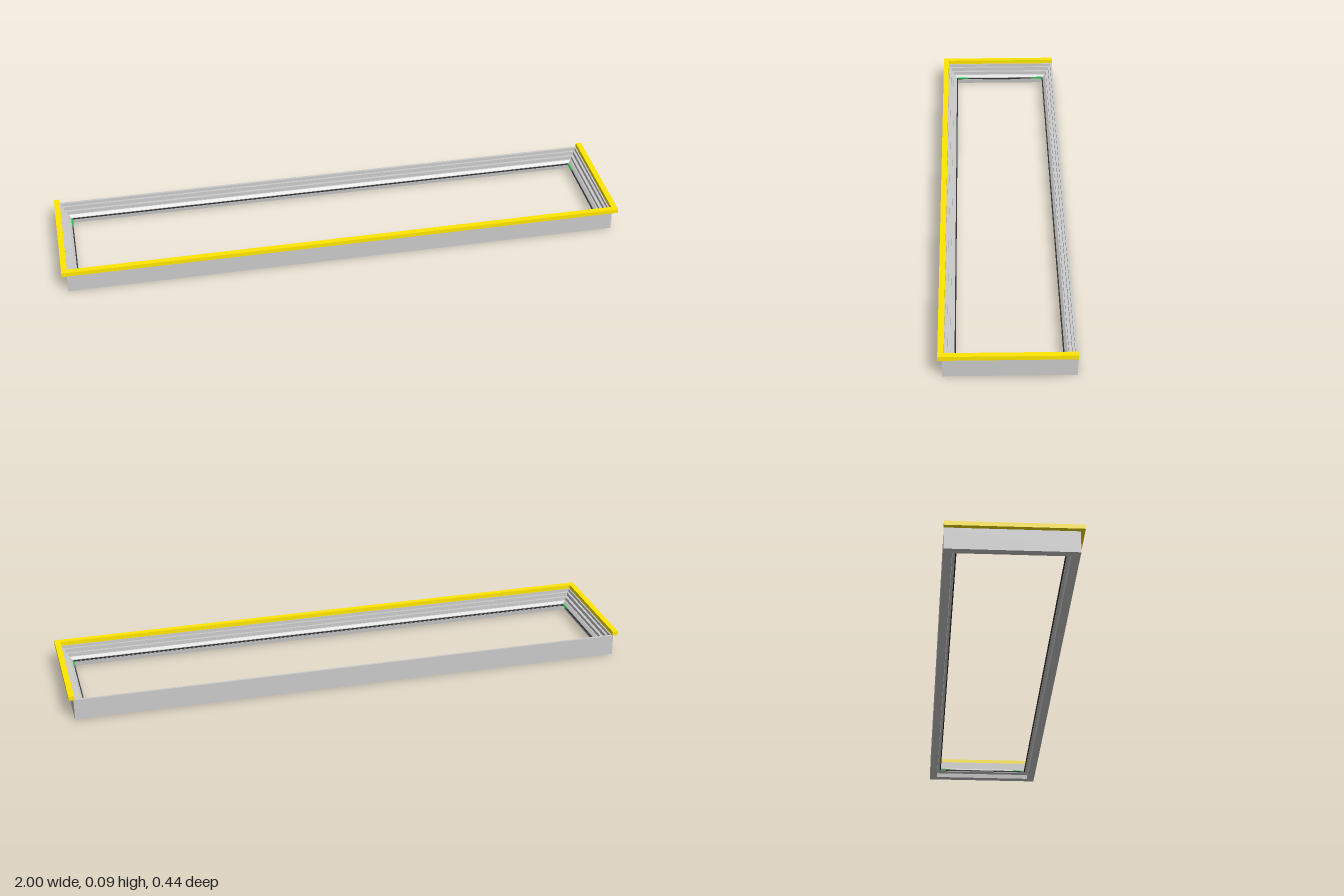
import * as THREE from 'three';

const X = 0.983, BACK = -0.222, FRONT = 0.208; // outer edges of the frame

// Sweeps a closed profile of [inset, height] around the rectangle with mitred corners
function mitredRing(profile) {
  const corner = (k, [d, y]) => [
    k < 2 ? X - d : -X + d,
    y,
    k === 0 || k === 3 ? FRONT - d : BACK + d,
  ];
  const positions = [];
  for (let k = 0; k < 4; k++) {
    const next = (k + 1) % 4;
    profile.forEach((p, i) => {
      const q = profile[(i + 1) % profile.length];
      const a = corner(k, p), b = corner(k, q), c = corner(next, q), d = corner(next, p);
      positions.push(...a, ...b, ...c, ...a, ...c, ...d);
    });
  }
  const geometry = new THREE.BufferGeometry();
  geometry.setAttribute('position', new THREE.Float32BufferAttribute(positions, 3));
  geometry.computeVertexNormals();
  return geometry;
}

export function createModel() {
  const group = new THREE.Group();
  const grey = new THREE.MeshStandardMaterial({ color: 0xcccccc });
  const yellow = new THREE.MeshStandardMaterial({ color: 0xffe600 });
  const dark = new THREE.MeshStandardMaterial({ color: 0x333333 });
  const green = new THREE.MeshStandardMaterial({ color: 0x22bb44 });

  const add = (name, geometry, material, x = 0, y = 0, z = 0) => {
    const mesh = new THREE.Mesh(geometry, material);
    mesh.name = name;
    mesh.position.set(x, y, z);
    group.add(mesh);
  };

  // Main frame: stepped rebates above, sloped bead towards the opening
  add('frame', mitredRing([
    [0, 0], [0.028, 0], [0.030, 0.016], [0.039, 0.022], [0.039, 0.030],
    [0.030, 0.038], [0.026, 0.038], [0.026, 0.050], [0.016, 0.050],
    [0.016, 0.064], [0.008, 0.064], [0.008, 0.075], [0, 0.075],
  ]), grey);

  // Thin seal lip around the opening
  add('sealLip', mitredRing([
    [0.038, 0.024], [0.043, 0.025], [0.043, 0.028], [0.038, 0.028],
  ]), dark);

  // Small corner pieces on the short sides of the opening
  for (const sx of [-1, 1]) {
    for (const z of [BACK + 0.065, FRONT - 0.065]) {
      add('cornerSeal', new THREE.BoxGeometry(0.006, 0.004, 0.044), green,
        sx * (X - 0.041), 0.029, z);
    }
  }

  // Raised trim on the front and both ends, open at the back
  const h = 0.015, w = 0.02, y = 0.0825;
  add('frontTrim', new THREE.BoxGeometry(2, h, w), yellow, 0, y, 0.222 - w / 2);
  for (const sx of [-1, 1]) {
    add('sideTrim', new THREE.BoxGeometry(w, h, 0.444 - w), yellow,
      sx * (1 - w / 2), y, -w / 2);
  }
  return group;
}
